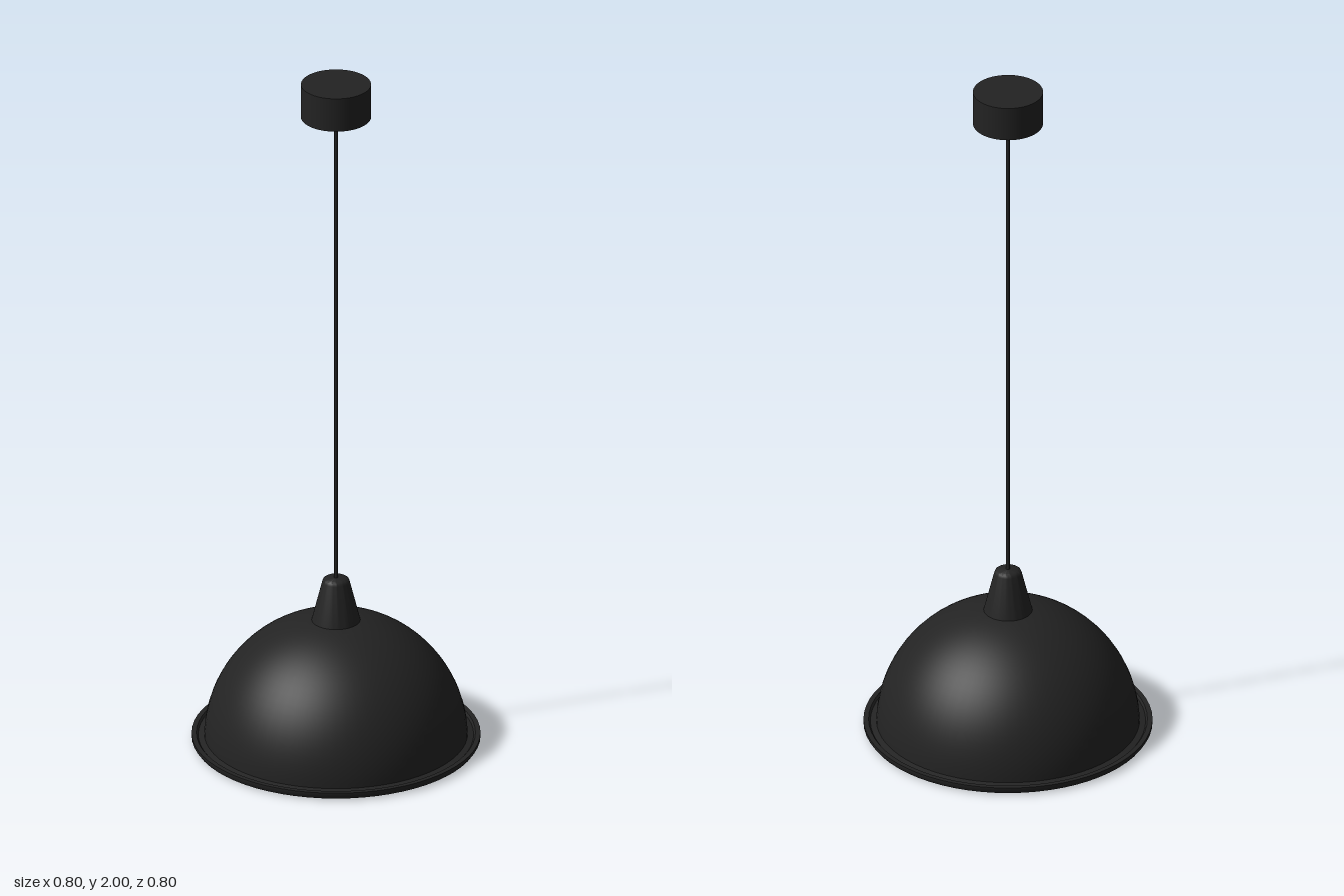
import * as THREE from 'three';
import { toCreasedNormals } from 'three/addons/utils/BufferGeometryUtils.js';

const SEGMENTS = 64;

export function createModel() {
  const model = new THREE.Group();
  model.name = 'pendantLamp';

  const black = new THREE.MeshStandardMaterial({ color: 0x232323 });
  black.name = 'matte black';
  const gold = new THREE.MeshStandardMaterial({ color: 0x96723a });
  gold.name = 'warm gold';

  const add = (name, geometry, material, y = 0) => {
    const mesh = new THREE.Mesh(geometry, material);
    mesh.name = name;
    mesh.position.y = y;
    model.add(mesh);
  };
  // Revolve a profile: running upwards faces out, running downwards faces in
  const lathe = (points) =>
    toCreasedNormals(new THREE.LatheGeometry(points.map(([r, y]) => new THREE.Vector2(r, y)), SEGMENTS), 0.6);
  // Quarter-circle profile from the rim to the crown
  const arc = (radius, y0, steps = 24) =>
    Array.from({ length: steps + 1 }, (_, i) => {
      const a = (i / steps) * Math.PI / 2;
      return [i === steps ? 0 : radius * Math.cos(a), y0 + radius * Math.sin(a)];
    });

  // Ceiling canopy and cord
  add('ceilingCanopy', new THREE.CylinderGeometry(0.097, 0.097, 0.1, SEGMENTS), black, 1.95);
  add('cord', new THREE.CylinderGeometry(0.005, 0.005, 1.43, 16), black, 1.195);

  // Tapered cord holder with a softened top edge
  add('cordHolder', lathe([
    [0.069, 0.36], [0.038, 0.483], [0.035, 0.49], [0.029, 0.494], [0, 0.495],
  ]), black);

  // Dome shade: black outside, gold inside
  add('shadeOuter', lathe(arc(0.365, 0.008)), black);
  add('shadeInner', lathe(arc(0.359, 0.006).reverse()), gold);

  // Flared rim with a shallow step on top
  add('shadeRim', lathe([
    [0.359, 0.006], [0.372, 0.002], [0.384, 0], [0.394, 0.003], [0.4, 0.012], [0.4, 0.022],
    [0.386, 0.022], [0.381, 0.016], [0.363, 0.02], [0.359, 0.006],
  ]), black);

  return model;
}
